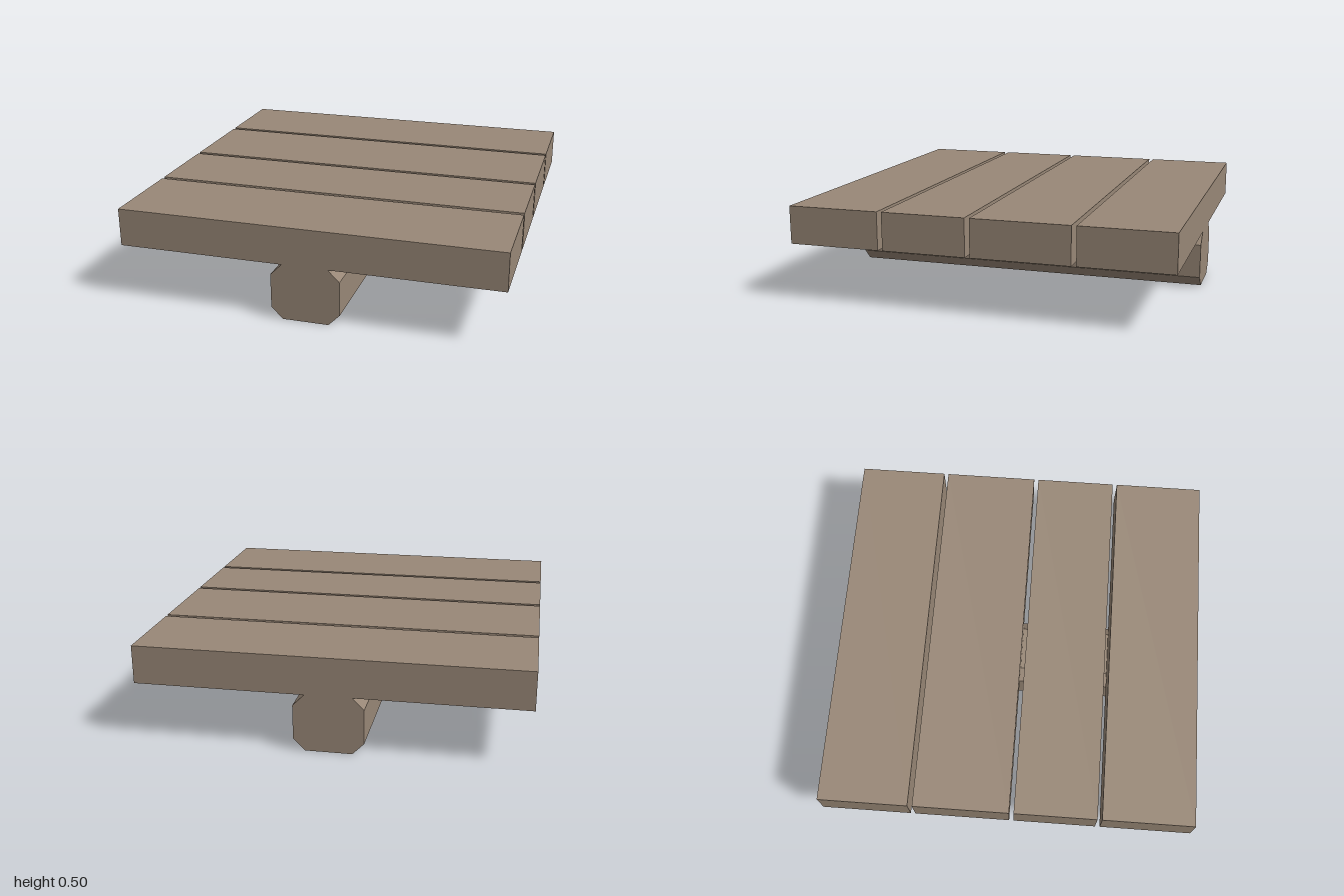
import * as THREE from 'three';

export function createModel() {
  const model = new THREE.Group();
  model.name = 'plankWalkway';
  const wood = new THREE.MeshStandardMaterial({ color: 0x998877 });
  wood.name = 'weathered wood';

  // Planks laid across the beam, uneven in width: [back z, front z]
  const planks = [[-1, -0.52], [-0.495, 0.018], [0.043, 0.485], [0.51, 1]];
  planks.forEach(([back, front], i) => {
    const plank = new THREE.Mesh(new THREE.BoxGeometry(2, 0.2, front - back), wood);
    plank.position.set(0, 0.4, (back + front) / 2);
    plank.name = `plank${i + 1}`;
    model.add(plank);
  });

  // Supporting beam with chamfered edges, running front to back
  const halfWidth = 0.18, height = 0.3, chamfer = 0.06;
  const flat = halfWidth - chamfer;
  const section = new THREE.Shape([
    [-flat, 0], [flat, 0], [halfWidth, chamfer], [halfWidth, height - chamfer],
    [flat, height], [-flat, height], [-halfWidth, height - chamfer], [-halfWidth, chamfer],
  ].map(([x, y]) => new THREE.Vector2(x, y)));
  const beam = new THREE.Mesh(
    new THREE.ExtrudeGeometry(section, { depth: 2, bevelEnabled: false }), wood);
  beam.position.z = -1;
  beam.name = 'supportBeam';
  model.add(beam);

  return model;
}
